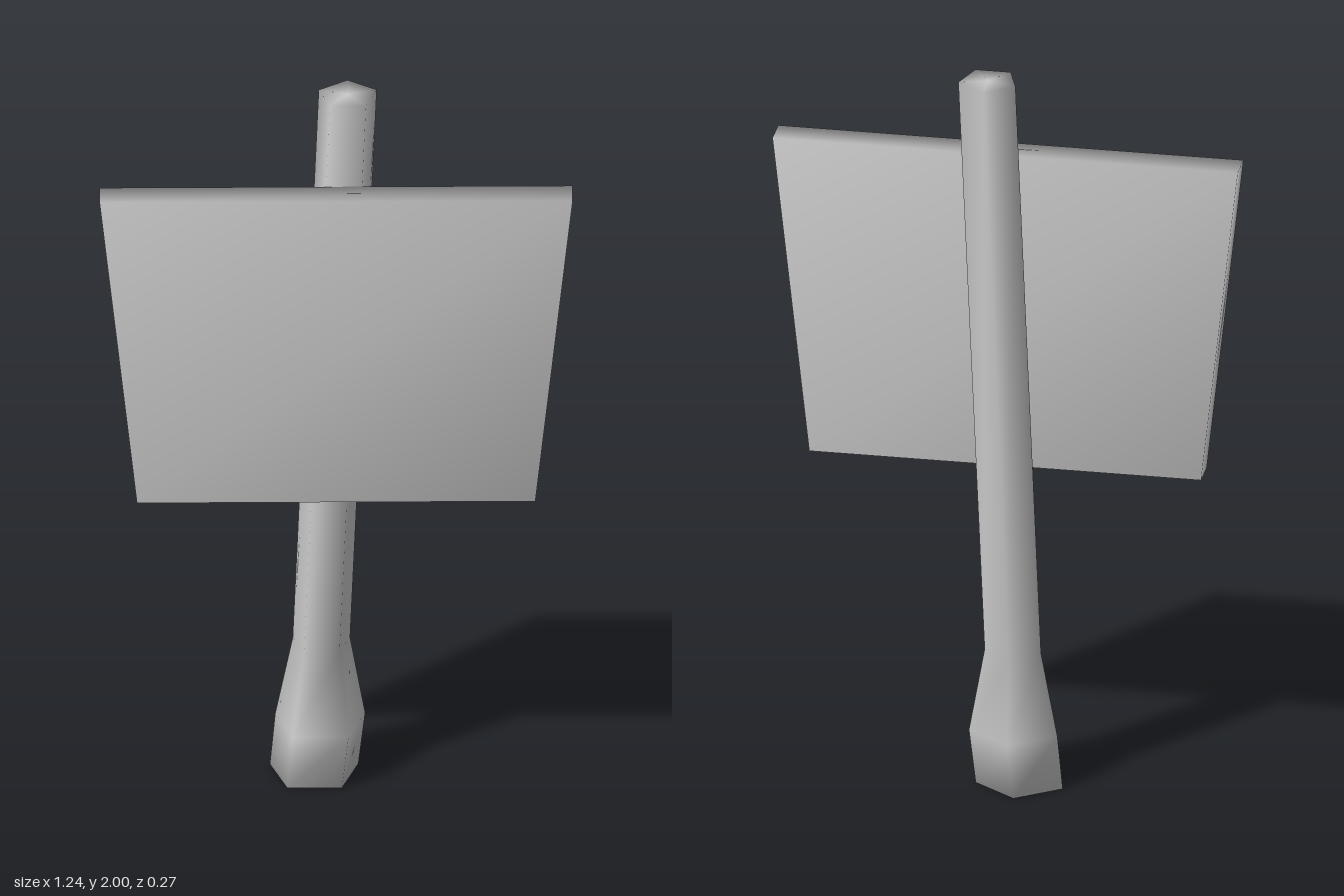
import * as THREE from 'three';
import { mergeVertices } from 'three/addons/utils/BufferGeometryUtils.js';

// Weld all corners so shading flows softly over every edge
function soften(geometry) {
  geometry.deleteAttribute('normal');
  geometry.deleteAttribute('uv');
  geometry.clearGroups();
  const welded = mergeVertices(geometry, 1e-4);
  welded.computeVertexNormals();
  return welded;
}

// Move every vertex of a geometry by a rule
function reshape(geometry, rule) {
  const pos = geometry.attributes.position;
  const v = new THREE.Vector3();
  for (let i = 0; i < pos.count; i++) {
    rule(v.fromBufferAttribute(pos, i));
    pos.setXYZ(i, v.x, v.y, v.z);
  }
  return soften(geometry);
}

export function createModel() {
  const model = new THREE.Group();
  model.name = 'signpost';
  const grey = new THREE.MeshStandardMaterial({ color: 0xcccccc });
  grey.name = 'plain grey';

  // Leaning five-sided post with a swollen foot, one ring per height
  const rings = [
    { x: -0.056, y: 0, z: -0.011, r: 0.122 },
    { x: -0.04, y: 0.15, z: -0.011, r: 0.124 },
    { x: -0.037, y: 0.38, z: -0.014, r: 0.079 },
    { x: 0.032, y: 2, z: -0.014, r: 0.08 },
  ];
  const postGeometry = reshape(
    new THREE.CylinderGeometry(1, 1, 1, 5, 3, false, Math.PI),
    (v) => {
      const ring = rings[Math.round((v.y + 0.5) * 3)];
      v.set(ring.x + v.x * ring.r, ring.y, ring.z + v.z * ring.r);
    }
  );
  const post = new THREE.Mesh(postGeometry, grey);
  post.name = 'post';
  model.add(post);

  // Board fixed to the front of the post, wider at the top
  const boardGeometry = reshape(new THREE.BoxGeometry(1, 0.89, 0.083), (v) => {
    v.x *= v.y > 0 ? 1.24 : 1.044;
  });
  const board = new THREE.Mesh(boardGeometry, grey);
  board.name = 'signBoard';
  board.position.set(0, 1.315, 0.0925);
  model.add(board);

  return model;
}
